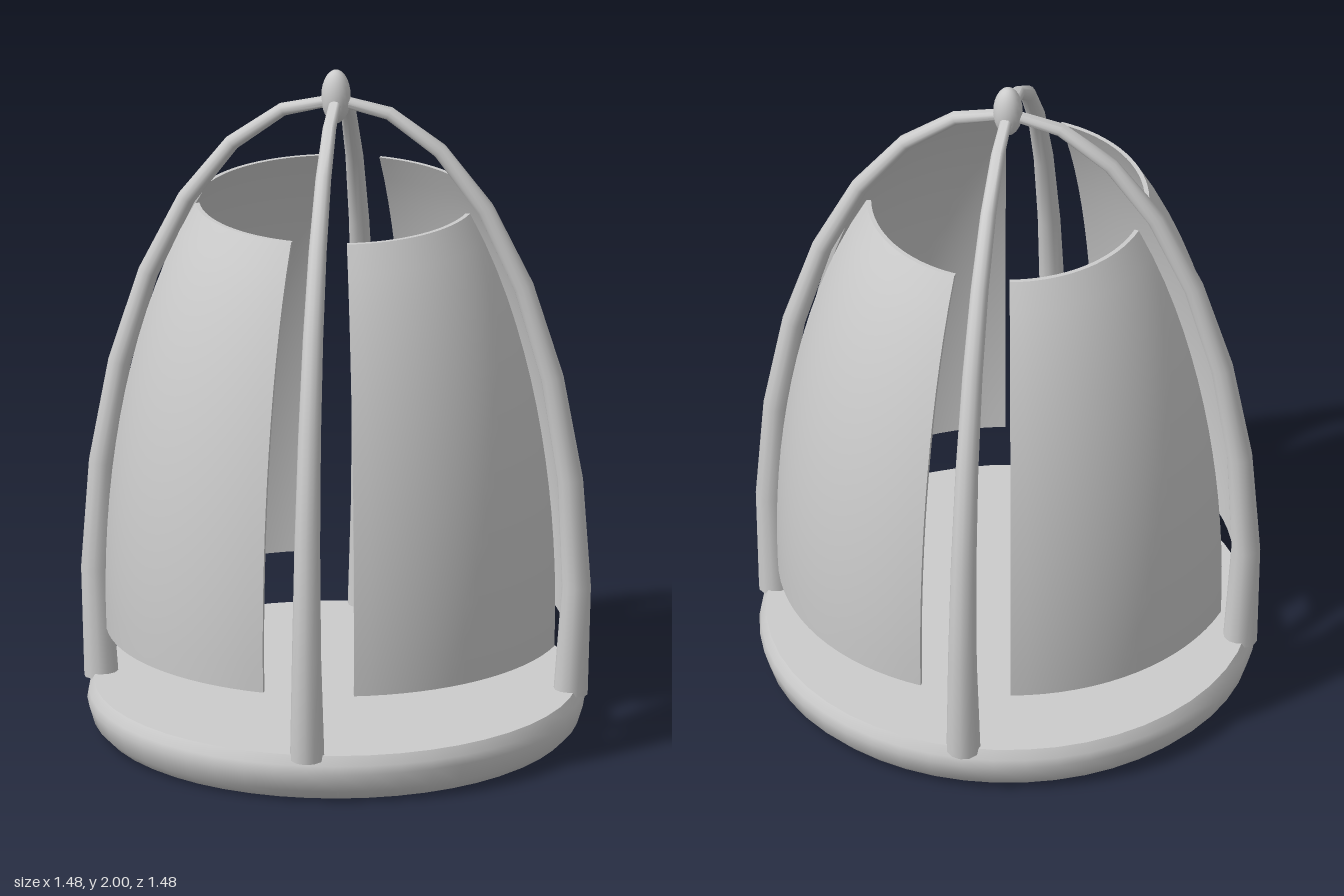
import * as THREE from 'three';
import { toCreasedNormals } from 'three/addons/utils/BufferGeometryUtils.js';

// Elliptical dome outline shared by ribs and panels
const MID = 0.45, RISE = 1.46;

// Move every vertex of a geometry by a rule
function warp(geo, rule) {
  const pos = geo.attributes.position, v = new THREE.Vector3();
  for (let i = 0; i < pos.count; i++) {
    rule(v.fromBufferAttribute(pos, i));
    pos.setXYZ(i, v.x, v.y, v.z);
  }
  geo.computeVertexNormals();
  return geo;
}

// Tapered round bar following the dome from the base to the apex
function ribGeometry() {
  const start = -Math.asin(0.32 / RISE);
  const geo = warp(new THREE.CylinderGeometry(1, 1, 1, 12, 8), (v) => {
    const t = v.y + 0.5;
    const a = THREE.MathUtils.lerp(start, Math.PI / 2, t);
    const tangent = new THREE.Vector2(-0.7 * Math.sin(a), RISE * Math.cos(a)).normalize();
    const rad = 0.05 - 0.033 * Math.pow(t, 0.7);
    const { x, z } = v;
    v.set(0.7 * Math.cos(a) + tangent.y * x * rad,
      MID + RISE * Math.sin(a) - tangent.x * x * rad, z * rad);
  });
  return toCreasedNormals(geo, Math.PI / 3);
}

// Thin curved wall panel, centred on the +z direction
function panelGeometry() {
  const span = THREE.MathUtils.degToRad(67);
  return warp(new THREE.BoxGeometry(1, 1, 1, 16, 16, 1), (v) => {
    const a = v.x * span;
    const y = THREE.MathUtils.lerp(0.313, 1.605, v.y + 0.5);
    const r = 0.668 * Math.sqrt(1 - ((y - MID) / RISE) ** 2) + (v.z - 0.5) * 0.013;
    v.set(r * Math.sin(a), y, r * Math.cos(a));
  });
}

export function createModel() {
  const model = new THREE.Group();
  const grey = new THREE.MeshStandardMaterial({ color: 0xcccccc });
  grey.name = 'light grey';

  const add = (name, geo, turn = 0) => {
    const mesh = new THREE.Mesh(geo, grey);
    mesh.name = name;
    mesh.rotation.y = turn;
    model.add(mesh);
    return mesh;
  };

  // Round base with bevelled rim
  const profile = [[0, 0], [0.66, 0], [0.675, 0.008], [0.702, 0.035], [0.719, 0.09],
    [0.714, 0.115], [0.699, 0.143], [0, 0.143]].map(([x, y]) => new THREE.Vector2(x, y));
  add('base', toCreasedNormals(new THREE.LatheGeometry(profile, 48), 0.7));

  // Four ribs with a panel between each pair
  const rib = ribGeometry(), panel = panelGeometry();
  for (let i = 0; i < 4; i++) {
    add('rib', rib, i * Math.PI / 2);
    add('panel', panel, (i + 0.5) * Math.PI / 2);
  }

  // Egg-shaped finial at the apex
  const finial = add('finial', new THREE.SphereGeometry(1, 20, 14));
  finial.scale.set(0.043, 0.081, 0.043);
  finial.position.y = 1.919;

  return model;
}
